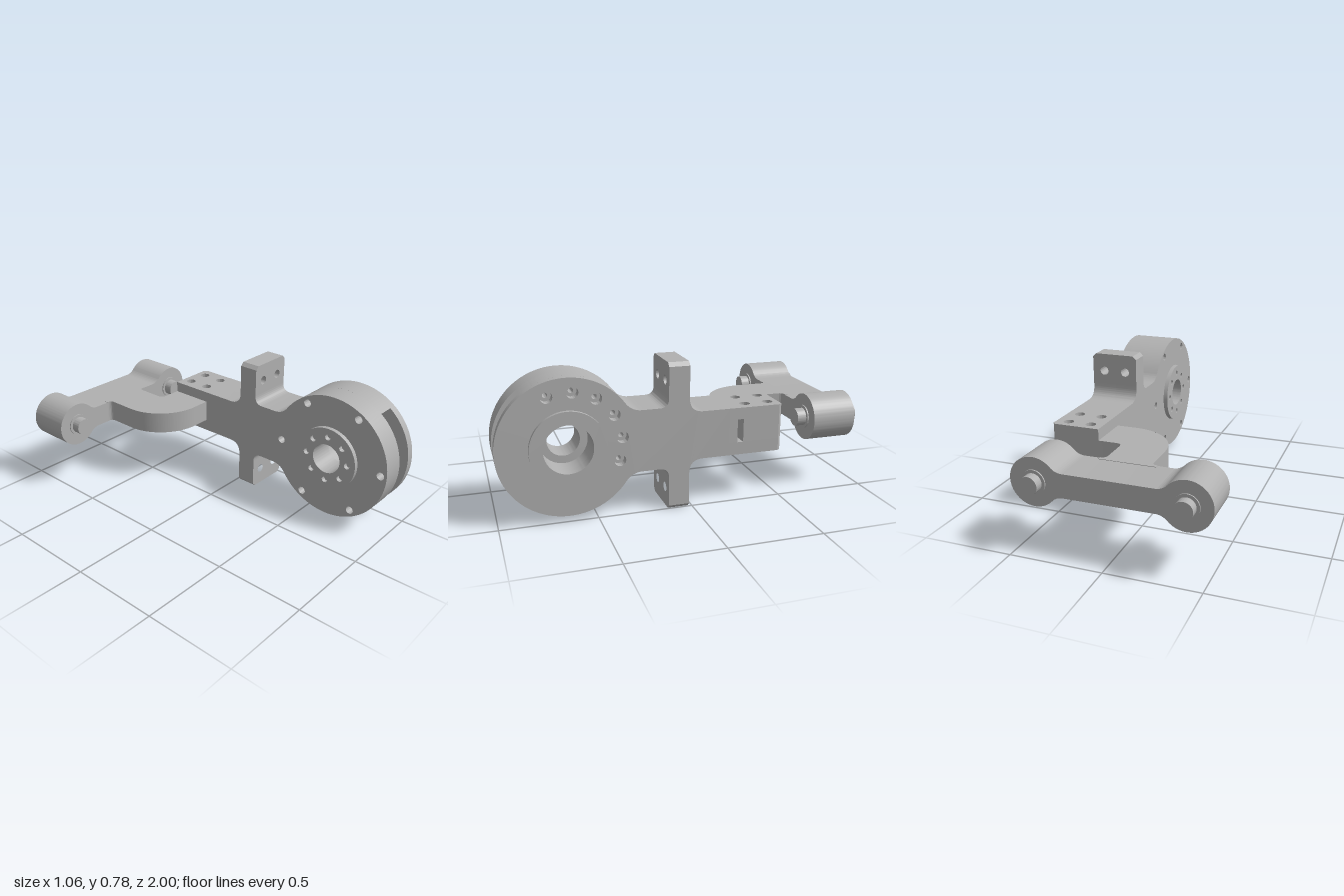
import * as THREE from 'three';
import { toCreasedNormals } from 'three/addons/utils/BufferGeometryUtils.js';

const C = 0.39;          // height of the common axis
const DU = -0.645;       // disc centre, measured along u = -z
const R = 0.355;         // disc radius
const rad = (d) => d * Math.PI / 180;

export function createModel() {
  const group = new THREE.Group();
  const metal = new THREE.MeshStandardMaterial({ color: 0xb0b0b0 });
  metal.name = 'grey metal';

  const hole = (shape, x, y, r) => {
    shape.holes.push(new THREE.Path().absarc(x, y, r, 0, Math.PI * 2, true));
    return shape;
  };
  // Extrude a shape from a to b along the x, y or z axis.
  // x: shape drawn in (-z, y); y: drawn in (x, -z); z: drawn in (x, y)
  const extrude = (name, shape, axis, a, b) => {
    let geo = new THREE.ExtrudeGeometry(shape, { depth: b - a, bevelEnabled: false, curveSegments: 40 });
    geo.translate(0, 0, a);
    if (axis === 'x') geo.rotateY(Math.PI / 2);
    if (axis === 'y') geo.rotateX(-Math.PI / 2);
    geo = toCreasedNormals(geo, 0.5);
    const mesh = new THREE.Mesh(geo, metal);
    mesh.name = name;
    group.add(mesh);
    return mesh;
  };
  const polygon = (pts) => new THREE.Shape(pts.map(([x, y]) => new THREE.Vector2(x, y)));

  // Side outline of disc, neck and arm; the slotted version is cut back at the front
  const bodyOutline = (slotted) => {
    const s = new THREE.Shape();
    const t = 35.2;
    if (slotted) {
      s.absarc(DU, C, R, rad(t), rad(127.5), false);
      s.lineTo(-0.71, 0.597);
      s.absarc(DU, C, 0.215, rad(107.6), rad(207.7), false);
      s.lineTo(-0.70, 0.175);
      s.absarc(DU, C, R, rad(322.7), rad(360 - t), false);
    } else {
      s.absarc(DU, C, R, rad(t), rad(360 - t), false);
    }
    s.absarc(-0.273, C - 0.262, 0.1, rad(180 - t), rad(90), true);
    s.lineTo(-0.18, C - 0.162);
    s.quadraticCurveTo(-0.13, C - 0.162, -0.13, C - 0.212);
    s.lineTo(-0.13, C - 0.22);
    s.lineTo(-0.02, C - 0.22);
    s.lineTo(-0.02, C - 0.2);
    s.quadraticCurveTo(-0.02, C - 0.1275, 0.055, C - 0.1275);
    s.lineTo(0.2, C - 0.1275);
    s.lineTo(0.2, C + 0.1275);
    s.lineTo(0.055, C + 0.1275);
    s.quadraticCurveTo(-0.02, C + 0.1275, -0.02, C + 0.2);
    s.lineTo(-0.02, C + 0.22);
    s.lineTo(-0.13, C + 0.22);
    s.lineTo(-0.13, C + 0.212);
    s.quadraticCurveTo(-0.13, C + 0.162, -0.18, C + 0.162);
    s.lineTo(-0.273, C + 0.162);
    s.absarc(-0.273, C + 0.262, 0.1, rad(270), rad(180 + t), true);
    return s;
  };

  // Main body in three layers: two cheeks around the slotted core
  const rightCheek = hole(bodyOutline(false), DU, C, 0.085);
  for (let i = 0; i < 6; i++) {
    const a = i * Math.PI / 3;
    hole(rightCheek, DU + 0.318 * Math.cos(a), C + 0.318 * Math.sin(a), 0.022);
  }
  const core = hole(bodyOutline(true), DU, C, 0.125);
  const leftCheek = hole(bodyOutline(false), DU, C, 0.125);
  const screws = [[0.74, 0.655], [0.615, 0.67], [0.5, 0.63], [0.41, 0.54], [0.37, 0.42], [0.385, 0.3]];
  for (const [z, y] of screws) {
    hole(leftCheek, -z, y, 0.03);
    hole(core, -z, y, 0.013);
  }
  extrude('rightCheek', rightCheek, 'x', 0.24, 0.37);
  extrude('slottedCore', core, 'x', 0.37, 0.465);
  extrude('leftCheek', leftCheek, 'x', 0.465, 0.51);

  // Raised bearing rings on both faces of the disc
  const ring = (r, bore) => hole(new THREE.Shape().absarc(DU, C, r, 0, Math.PI * 2, false), DU, C, bore);
  extrude('leftBearingRing', ring(0.193, 0.125), 'x', 0.51, 0.53);
  const rightRing = ring(0.18, 0.085);
  for (let i = 0; i < 8; i++) {
    const a = i * Math.PI / 4;
    hole(rightRing, DU + 0.13 * Math.cos(a), C + 0.13 * Math.sin(a), 0.017);
  }
  extrude('rightBearingRing', rightRing, 'x', 0.215, 0.24);

  // Chamfered flange ears with bolt holes, above and below
  for (const m of [1, -1]) {
    const pts = [[0.24, 0.22], [0.51, 0.22], [0.51, 0.37], [0.49, 0.39], [0.26, 0.39], [0.24, 0.37]];
    const ear = polygon(pts.map(([x, y]) => [x, C + m * y]));
    for (const x of [0.31, 0.44]) hole(ear, x, C + m * 0.29, 0.025);
    extrude(m > 0 ? 'upperFlangeEar' : 'lowerFlangeEar', ear, 'z', 0.02, 0.13);
  }

  // Arm end in three layers, the middle one with a small side slot
  const armLayer = (slot) => {
    const pts = [[0.24, 0.2], [0.51, 0.2]];
    if (slot) pts.push([0.51, 0.245], [0.42, 0.245], [0.42, 0.278], [0.51, 0.278]);
    pts.push([0.51, 0.48], [0.495, 0.497], [0.24, 0.497]);
    const s = polygon(pts);
    for (const x of [0.31, 0.44]) for (const u of [0.31, 0.44]) hole(s, x, u, 0.028);
    return s;
  };
  extrude('armLowerPlate', armLayer(false), 'y', C - 0.1275, 0.33);
  extrude('armMiddlePlate', armLayer(true), 'y', 0.33, 0.455);
  extrude('armUpperPlate', armLayer(false), 'y', 0.455, C + 0.1275);

  // Curved link from the arm to the crossbar
  const link = new THREE.Shape();
  link.moveTo(0.24, 0.25);
  link.lineTo(0.24, 0.497);
  link.lineTo(0.14, 0.497);
  link.quadraticCurveTo(0.105, 0.497, 0.105, 0.532);
  link.lineTo(0.105, 0.67);
  link.quadraticCurveTo(0.105, 0.7, 0.135, 0.7);
  link.lineTo(0.135, 0.72);
  link.lineTo(-0.17, 0.72);
  link.lineTo(-0.17, 0.7);
  link.quadraticCurveTo(-0.14, 0.7, -0.14, 0.67);
  link.lineTo(-0.14, 0.52);
  link.absarc(0.13, 0.52, 0.27, Math.PI, Math.PI * 1.5, false);
  extrude('curvedLink', link, 'y', 0.33, 0.455);

  // Crossbar with a round knuckle blended into each end
  const x0 = -0.402, x1 = 0.37, k = 0.128, f = 0.08, dx = 0.1515, dy = 0.1425, t = Math.atan2(dy, dx);
  const bar = new THREE.Shape();
  bar.absarc(x0, C, k, t, Math.PI * 2 - t, false);
  bar.absarc(x0 + dx, C - dy, f, Math.PI - t, Math.PI / 2, true);
  bar.absarc(x1 - dx, C - dy, f, Math.PI / 2, t, true);
  bar.absarc(x1, C, k, Math.PI + t, Math.PI * 3 - t, false);
  bar.absarc(x1 - dx, C + dy, f, -t, -Math.PI / 2, true);
  bar.absarc(x0 + dx, C + dy, f, Math.PI * 1.5, Math.PI + t, true);
  extrude('crossbar', bar, 'z', -0.945, -0.7);

  // Pins with thin collars through the knuckles
  for (const x of [x0, x1]) {
    const disc = (r) => new THREE.Shape().absarc(x, C, r, 0, Math.PI * 2, false);
    extrude('pin', disc(0.048), 'z', -1, -0.643);
    extrude('pinCollar', disc(0.064), 'z', -0.952, -0.693);
  }
  return group;
}
